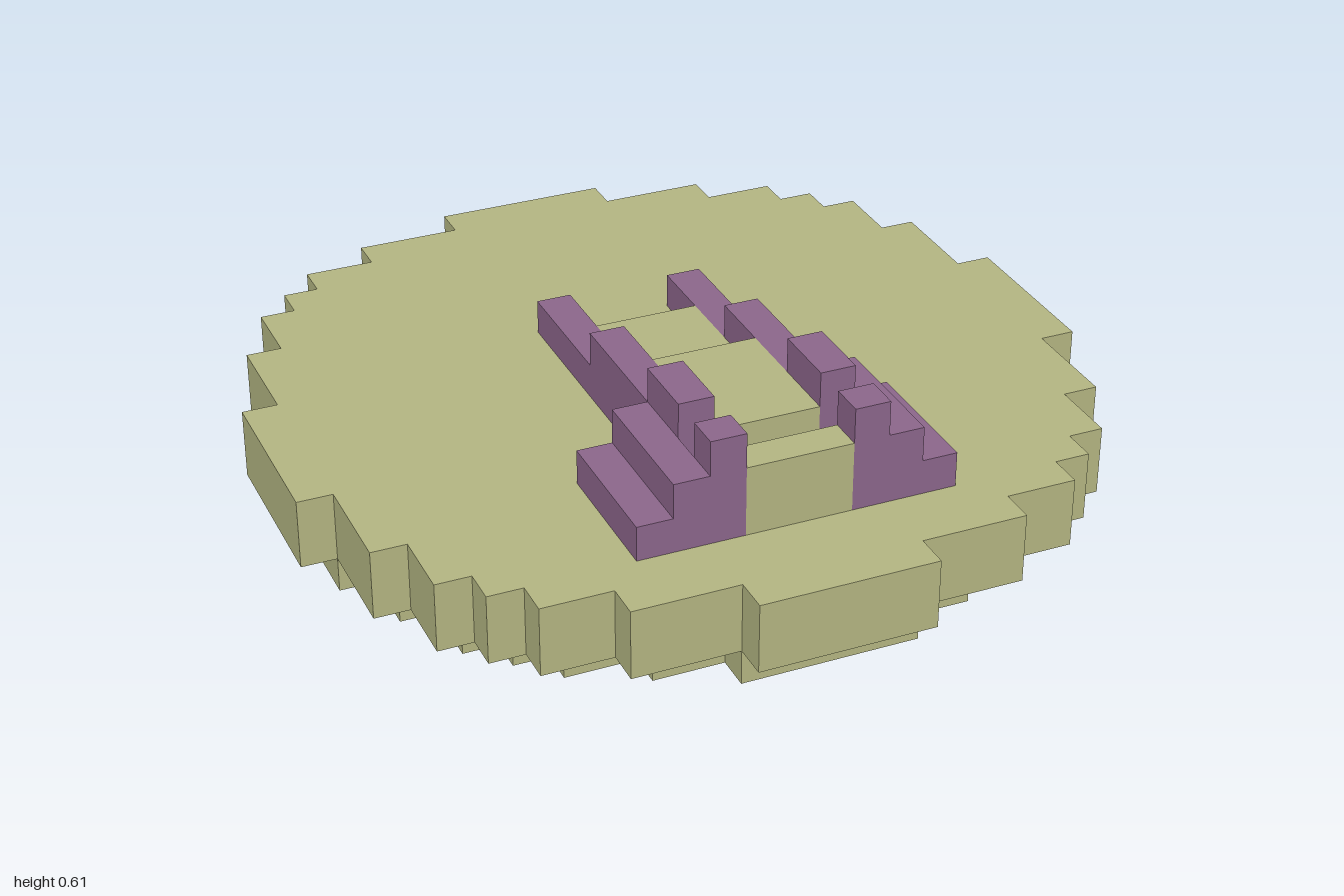
import * as THREE from 'three';

const U = 2 / 23; // one block

export function createModel() {
  const model = new THREE.Group();
  model.name = 'blockDisc';
  const olive = new THREE.MeshStandardMaterial({ name: 'olive', color: 0xb4b682 });
  const purple = new THREE.MeshStandardMaterial({ name: 'purple', color: 0x8c668b });

  // Stepped round layer; corners are the outer corners of one quarter, in blocks
  function disc(name, corners, y0, y1) {
    const quarter = [];
    corners.forEach(([x, z], i) => {
      if (i) quarter.push([x, corners[i - 1][1]]);
      quarter.push([x, z]);
    });
    const back = [...quarter].reverse();
    const outline = [
      ...quarter,
      ...back.map(([x, z]) => [-x, z]),
      ...quarter.map(([x, z]) => [-x, -z]),
      ...back.map(([x, z]) => [x, -z]),
    ].map(([x, z]) => new THREE.Vector2(x * U, z * U));
    const geo = new THREE.ExtrudeGeometry(new THREE.Shape(outline), {
      depth: (y1 - y0) * U, bevelEnabled: false,
    });
    geo.rotateX(-Math.PI / 2).translate(0, y0 * U, 0);
    const mesh = new THREE.Mesh(geo, olive);
    mesh.name = name;
    model.add(mesh);
  }

  // Box from its limits, in blocks
  function block(name, material, parent, [x0, x1], [y0, y1], [z0, z1]) {
    const geo = new THREE.BoxGeometry((x1 - x0) * U, (y1 - y0) * U, (z1 - z0) * U);
    const mesh = new THREE.Mesh(geo, material);
    mesh.position.set((x0 + x1) / 2 * U, (y0 + y1) / 2 * U, (z0 + z1) / 2 * U);
    mesh.name = name;
    parent.add(mesh);
  }

  // Three stacked layers of the disc
  disc('lowerDisc', [[7.5, 2.5], [6.5, 4.5], [5.5, 5.5], [4.5, 6.5], [2.5, 7.5]], 0, 1);
  disc('middleDisc', [[10.5, 2.5], [9.5, 4.5], [8.5, 6.5], [7.5, 7.5], [6.5, 8.5], [4.5, 9.5], [2.5, 10.5]], 1, 2);
  disc('upperDisc', [[11.5, 2.5], [10.5, 5.5], [9.5, 7.5], [8.5, 8.5], [7.5, 9.5], [5.5, 10.5], [2.5, 11.5]], 2, 4);

  // Rails with stepped wings, mirrored left and right
  for (const [side, s] of [['left', 1], ['right', -1]]) {
    const rail = new THREE.Group();
    rail.name = side + 'Rail';
    model.add(rail);
    const span = (a, b) => (s > 0 ? [a, b] : [-b, -a]);
    block('railBase', purple, rail, span(1.5, 2.5), [4, 5], [-3.5, 8.5]);
    block('railStep', purple, rail, span(1.5, 2.5), [5, 6], [0.5, 6.5]);
    block('railTop', purple, rail, span(1.5, 2.5), [6, 7], [4.5, 6.5]);
    block('frontPost', purple, rail, span(1.5, 2.5), [5, 7], [7.5, 8.5]);
    block('lowerWing', purple, rail, span(2.5, 4.5), [4, 5], [4.5, 8.5]);
    block('upperWing', purple, rail, span(2.5, 3.5), [5, 6], [4.5, 8.5]);
  }

  // Raised bed between the rails, with a slot behind the front wall
  const bed = new THREE.Group();
  bed.name = 'bed';
  model.add(bed);
  block('bedBase', olive, bed, [-1.5, 1.5], [4, 5], [-1.5, 6.5]);
  block('bedStep', olive, bed, [-1.5, 1.5], [5, 6], [2.5, 6.5]);
  block('slotFloor', olive, bed, [-1.5, 0.5], [4, 5], [6.5, 7.5]);
  block('slotPatch', purple, bed, [0.5, 1.5], [4, 5], [6.5, 7.5]);
  block('frontWall', olive, bed, [-1.5, 1.5], [4, 6], [7.5, 8.5]);

  return model;
}
